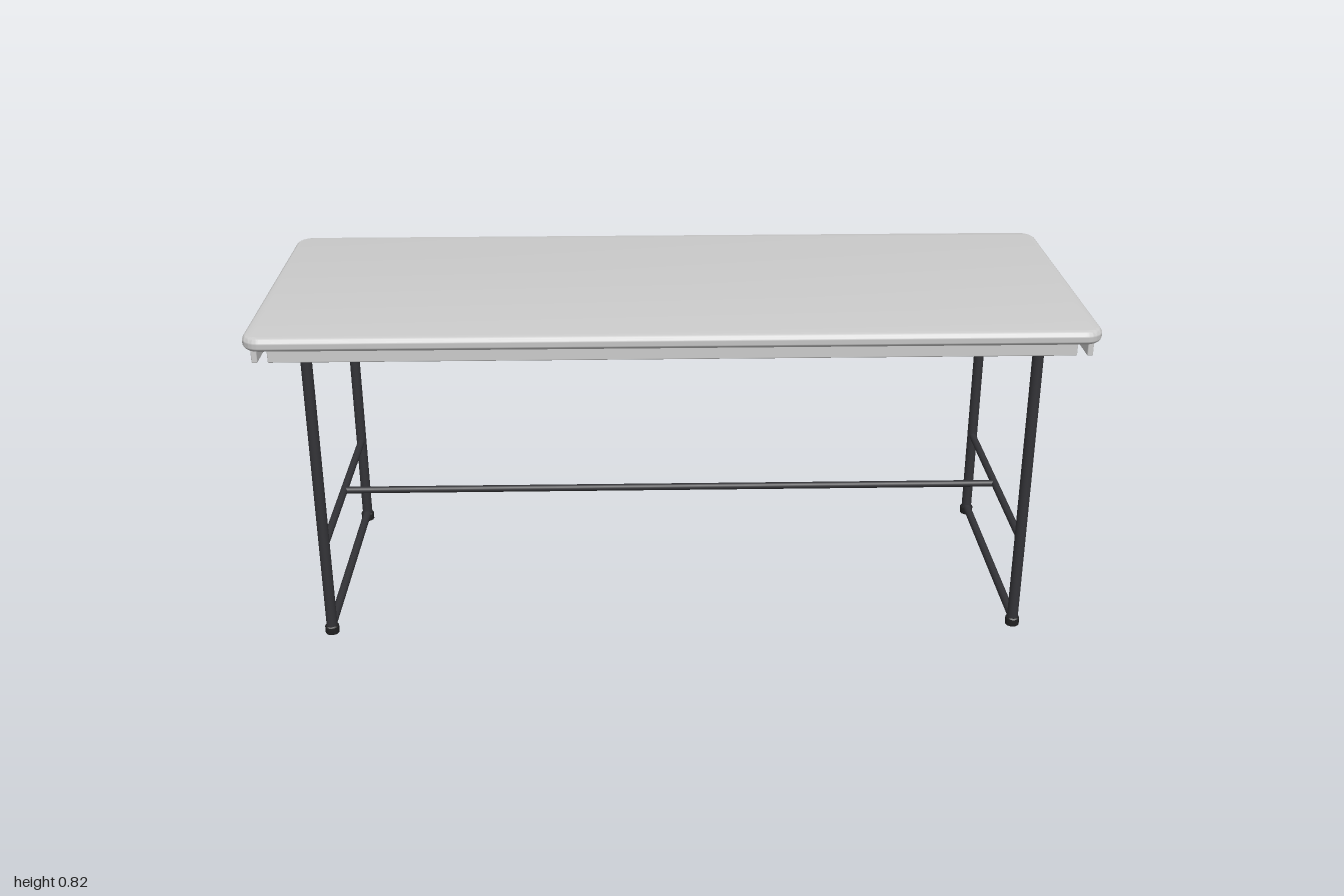
import * as THREE from 'three';
import { toCreasedNormals } from 'three/addons/utils/BufferGeometryUtils.js';
import { RoundedBoxGeometry } from 'three/addons/geometries/RoundedBoxGeometry.js';

const grey = new THREE.MeshStandardMaterial({ color: 0xcccccc });
const steel = new THREE.MeshStandardMaterial({ color: 0x333337 });
const rubber = new THREE.MeshStandardMaterial({ color: 0x222223 });

const LEG_X = 0.865, LEG_Z = 0.312;

function add(group, name, geometry, material, x = 0, y = 0, z = 0) {
  const mesh = new THREE.Mesh(geometry, material);
  mesh.name = name;
  mesh.position.set(x, y, z);
  group.add(mesh);
  return mesh;
}

// Round bar of a given length along the x, y or z axis
function bar(radius, length, axis) {
  const g = new THREE.CylinderGeometry(radius, radius, length, 20);
  if (axis === 'x') g.rotateZ(Math.PI / 2);
  if (axis === 'z') g.rotateX(Math.PI / 2);
  return g;
}

// Slab with rounded corners in plan and a rolled edge
function tabletopGeometry(hx, hz, height, corner, roll) {
  const x = hx - roll, z = hz - roll, r = corner - roll;
  const s = new THREE.Shape();
  s.absarc(x - r, z - r, r, 0, Math.PI / 2);
  s.absarc(-x + r, z - r, r, Math.PI / 2, Math.PI);
  s.absarc(-x + r, -z + r, r, Math.PI, Math.PI * 1.5);
  s.absarc(x - r, -z + r, r, Math.PI * 1.5, Math.PI * 2);
  s.closePath();
  const g = new THREE.ExtrudeGeometry(s, {
    depth: height - 2 * roll, bevelSize: roll, bevelThickness: roll, bevelSegments: 6, curveSegments: 10,
  });
  g.rotateX(-Math.PI / 2);
  g.translate(0, roll, 0);
  return toCreasedNormals(g, 0.7);
}

export function createModel() {
  const table = new THREE.Group();
  table.name = 'table';

  add(table, 'tabletop', tabletopGeometry(1, 0.388, 0.034, 0.045, 0.014), grey, 0, 0.789, 0);

  // Aprons hanging below the top
  for (const s of [-1, 1]) {
    add(table, 'longApron', new RoundedBoxGeometry(1.886, 0.038, 0.014, 3, 0.003), grey, 0, 0.775, s * 0.358);
    add(table, 'endApron', new RoundedBoxGeometry(0.014, 0.038, 0.732, 3, 0.003), grey, s * 0.973, 0.775, 0);
  }

  // Cross braces under the top
  for (const x of [-0.5, 0, 0.5])
    add(table, 'crossBrace', bar(0.009, 0.71, 'z'), grey, x, 0.78, 0);

  // Two end frames
  const footProfile = [[0, 0], [0.0165, 0], [0.0175, 0.002], [0.0175, 0.019], [0.015, 0.022], [0, 0.022]]
    .map(([x, y]) => new THREE.Vector2(x, y));
  const foot = toCreasedNormals(new THREE.LatheGeometry(footProfile, 20), 0.5);
  for (const sx of [-1, 1]) {
    const frame = new THREE.Group();
    frame.name = sx > 0 ? 'leftLegFrame' : 'rightLegFrame';
    frame.position.x = sx * LEG_X;
    table.add(frame);
    for (const sz of [-1, 1]) {
      const z = sz * LEG_Z;
      add(frame, 'leg', bar(0.0135, 0.765, 'y'), steel, 0, 0.3925, z);
      add(frame, 'foot', foot, rubber, 0, 0, z);
      add(frame, 'legBracket', new RoundedBoxGeometry(0.055, 0.04, 0.055, 3, 0.006), rubber, 0, 0.77, z);
    }
    add(frame, 'topRail', bar(0.0125, 2 * LEG_Z, 'z'), steel, 0, 0.772, 0);
    add(frame, 'middleRail', bar(0.0095, 2 * LEG_Z, 'z'), steel, 0, 0.246, 0);
    add(frame, 'bottomRail', bar(0.0105, 2 * LEG_Z, 'z'), steel, 0, 0.019, 0);
  }

  // Long stretcher joining the end frames
  add(table, 'stretcher', bar(0.009, 2 * LEG_X, 'x'), steel, 0, 0.246, 0);

  return table;
}
